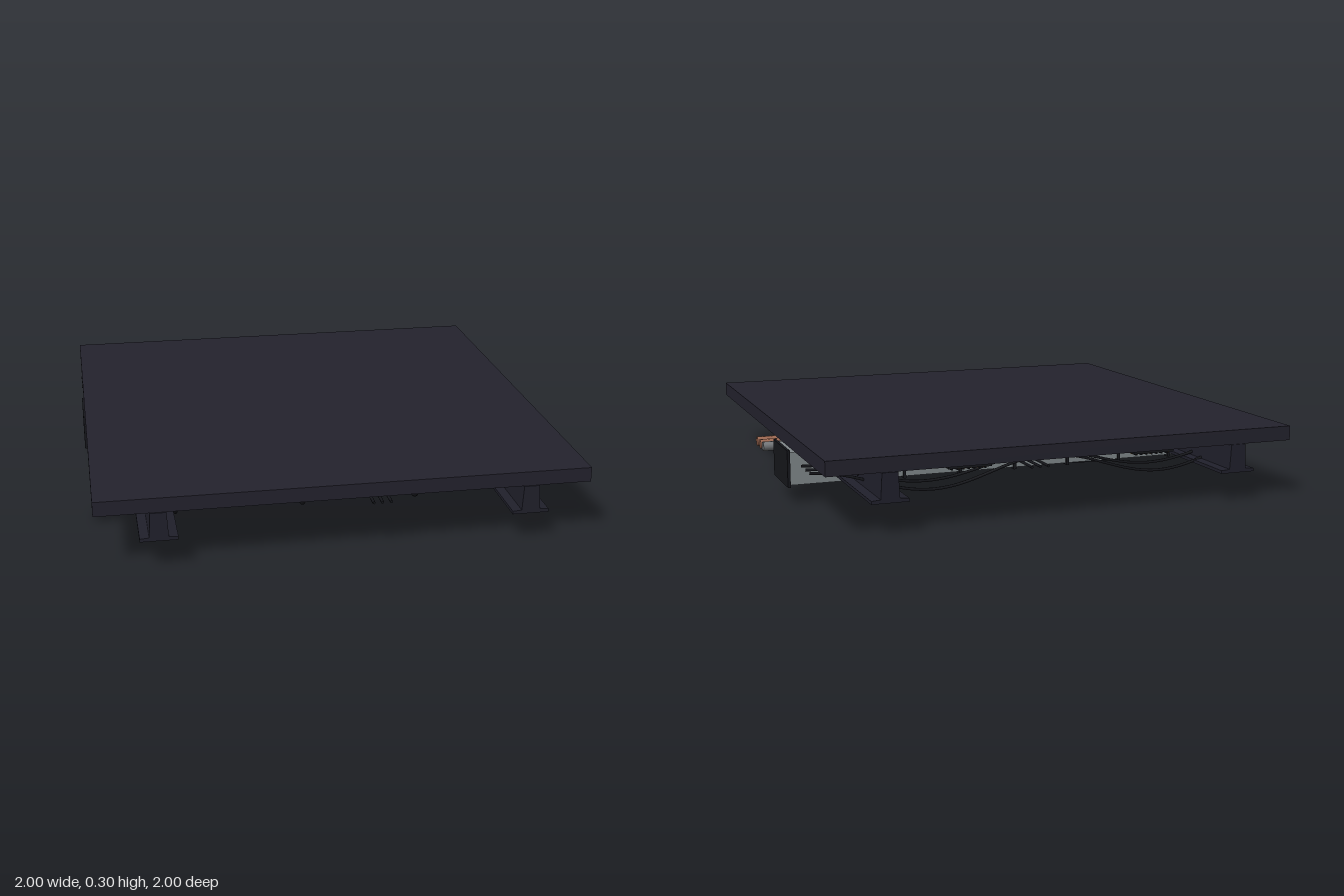
import * as THREE from 'three';

const mat = (name, color, side = THREE.FrontSide) => {
  const m = new THREE.MeshStandardMaterial({ color, side });
  m.name = name;
  return m;
};

export function createModel() {
  const root = new THREE.Group();
  root.name = 'ceilingTile';

  const panel = mat('dark panel', 0x23222d);
  const beamMat = mat('dark beam steel', 0x20202b);
  const black = mat('black metal', 0x15161b);
  const ductMat = mat('duct grey', 0x80878a);
  const steel = mat('pipe grey', 0x74777a);
  const copper = mat('copper', 0x9c6750);
  const brass = mat('brass', 0xd6b36a);
  const amber = mat('amber lamp', 0xb98a45);

  const add = (name, geo, material, x = 0, y = 0, z = 0) => {
    const m = new THREE.Mesh(geo, material);
    m.name = name;
    m.position.set(x, y, z);
    root.add(m);
    return m;
  };
  const box = (name, material, w, h, d, x, y, z) =>
    add(name, new THREE.BoxGeometry(w, h, d), material, x, y, z);
  const ring = (name, material, r, tube, x, y, z) => {
    const g = new THREE.TorusGeometry(r, tube, 8, 24).rotateY(Math.PI / 2);
    return add(name, g, material, x, y, z);
  };
  const rodX = (name, material, r, sides, length, x, y, z) =>
    add(name, new THREE.CylinderGeometry(r, r, length, sides).rotateZ(Math.PI / 2), material, x, y, z);

  // Ceiling slab
  box('slab', panel, 1.985, 0.06, 1.99, 0, 0.27, 0);

  // Beams: thick tapered web on a wide bottom flange
  const s = new THREE.Shape();
  [[-0.075, 0.122], [0.075, 0.122], [0.075, 0.135], [0.038, 0.138], [0.032, 0.24],
    [-0.032, 0.24], [-0.038, 0.138], [-0.075, 0.135]]
    .forEach(([x, y], i) => (i ? s.lineTo(x, y) : s.moveTo(x, y)));
  for (const x of [-0.745, 0.745]) {
    const g = new THREE.ExtrudeGeometry(s, { depth: 2, bevelEnabled: false });
    add('beam', g, beamMat, x, 0, -1);
  }

  // Air duct with seam flanges and closed ends
  box('duct', ductMat, 1.98, 0.137, 0.242, 0, 0.146, -0.27);
  for (let i = 0; i < 9; i++) {
    const x = Math.max(-0.994, Math.min(0.994, -1 + i * 0.25));
    box('ductFlange', black, 0.012, 0.155, 0.26, x, 0.147, -0.27);
  }
  // Grille under the duct
  box('ductGrilleFrame', black, 0.22, 0.006, 0.18, -0.4, 0.076, -0.27);
  for (let i = 0; i < 9; i++)
    box('ductGrilleSlat', black, 0.2, 0.012, 0.008, -0.4, 0.068, -0.34 + i * 0.0175);

  // Large drain pipe with an elbow rising into the slab
  const pipeR = 0.055, pipeY = 0.068, pipeZ = 0.48, bend = 0.135, topX = 0.604;
  const path = new THREE.CurvePath();
  const v = (x, y) => new THREE.Vector3(x, y, 0);
  const k = 0.5523 * bend;
  const x0 = topX - bend, y1 = pipeY + bend;
  const elbow = new THREE.CubicBezierCurve3(
    v(x0, pipeY), v(x0 + k, pipeY), v(topX, y1 - k), v(topX, y1));
  path.add(elbow);
  add('pipeElbow', new THREE.TubeGeometry(elbow, 16, pipeR, 24), steel, 0, 0, pipeZ);
  rodX('drainPipe', steel, pipeR, 24, x0 + 0.99, (x0 - 0.99) / 2, pipeY, pipeZ);
  add('pipeRiser', new THREE.CylinderGeometry(pipeR, pipeR, 0.25 - y1, 24), steel,
    topX, (0.25 + y1) / 2, pipeZ);

  // Pipe clamps with hanging straps
  for (const x of [-0.645, -0.1, 0.395]) {
    const clamp = ring('pipeClamp', black, 0.06, 0.009, x, pipeY, pipeZ);
    clamp.scale.set(1.1, 1, 1);
    for (const side of [-1, 1])
      box('pipeStrap', black, 0.012, 0.165, 0.01, x + 0.046, 0.1575, pipeZ + side * 0.067);
  }

  // Small water lines with brass couplings
  const lines = [[0.26, copper], [0.195, copper], [0.135, steel]];
  for (const [z, material] of lines) {
    rodX('waterLine', material, 0.021, 10, 1.98, 0, 0.14, z);
    for (const x of [-0.5, 0.05, 0.54]) {
      const c = ring('coupling', brass, 0.016, 0.01, x, 0.143, z);
      c.scale.x = 1.5;
    }
  }
  box('lineHanger', black, 0.012, 0.105, 0.012, -0.45, 0.1875, 0.2);

  // Lamps: dark housing, glowing strip and guard bars
  for (const x of [-0.4, 0.395])
    for (const z of [-0.87, 0.87]) {
      box('lampHousing', black, 0.18, 0.028, 0.09, x, 0.227, z);
      box('lampStrip', amber, 0.165, 0.006, 0.05, x, 0.211, z);
      for (let i = -3; i <= 3; i++)
        box('lampGuard', black, 0.006, 0.006, 0.058, x + i * 0.023, 0.207, z);
    }

  // Junction box where the cables cross
  box('junctionBox', ductMat, 0.13, 0.03, 0.13, 0.135, 0.226, -0.58);

  // Straight cables running front to back
  for (const x of [0.1, 0.135, 0.17])
    add('straightCable', new THREE.CylinderGeometry(0.006, 0.006, 1.99, 6).rotateX(Math.PI / 2),
      black, x, 0.214, 0);

  // Sagging cables running side to side
  [[-0.62, 0.045, 0.008], [-0.69, 0.085, 0.01], [-0.755, 0.1, -0.014]].forEach(([z, sag, drift]) => {
    const pts = [];
    for (let i = 0; i <= 24; i++) {
      const x = -0.995 + (1.99 * i) / 24;
      const w = Math.sin(Math.PI * x) ** 2;
      pts.push(new THREE.Vector3(x, 0.205 - sag * w, z + drift * w));
    }
    add('saggingCable', new THREE.TubeGeometry(new THREE.CatmullRomCurve3(pts), 60, 0.006, 6), black);
  });

  return root;
}
